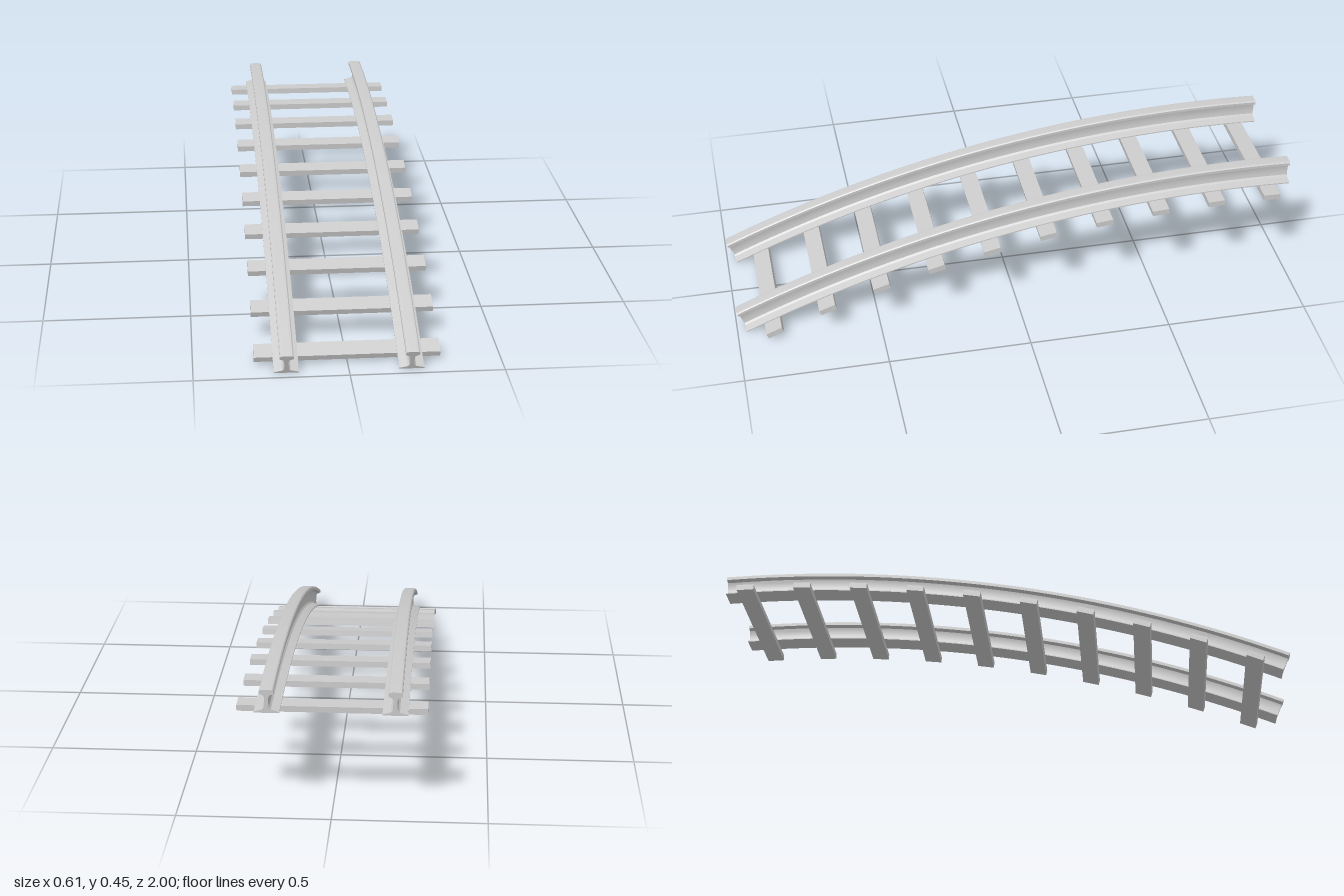
import * as THREE from 'three';
import { toCreasedNormals } from 'three/addons/utils/BufferGeometryUtils.js';

// The track follows an arc in the yz plane; its crest is near the back
const R = 4.42, CREST_Z = -0.8, CREST_Y = 0.371;
const START = -0.0446, END = 0.411;

// Half of the rail section, from the foot up to the head (x from the web, y above the foot)
const HALF = [
  [0.0405, 0], [0.0405, 0.004], [0.014, 0.011], [0.0085, 0.017], [0.0065, 0.028],
  [0.0065, 0.05], [0.009, 0.059], [0.0225, 0.065], [0.0225, 0.0745], [0.019, 0.078], [0.01, 0.0795],
];

// Bends a geometry whose z runs from 0 to 1 along the arc
function bend(geometry) {
  const p = geometry.attributes.position;
  for (let i = 0; i < p.count; i++) {
    const a = START + (END - START) * p.getZ(i);
    const r = R + p.getY(i);
    p.setXYZ(i, p.getX(i), CREST_Y - R + r * Math.cos(a), CREST_Z + r * Math.sin(a));
  }
  return toCreasedNormals(geometry, 0.5);
}

export function createModel() {
  const group = new THREE.Group();
  group.name = 'curvedTrack';
  const material = new THREE.MeshStandardMaterial({ color: 0xcccccc });

  // Rails
  const outline = [...HALF, ...HALF.map(([x, y]) => [-x, y]).reverse()];
  const shape = new THREE.Shape(outline.map(([x, y]) => new THREE.Vector2(x, y)));
  const railGeometry = bend(new THREE.ExtrudeGeometry(shape, { depth: 1, steps: 40, bevelEnabled: false }));
  for (const side of [1, -1]) {
    const rail = new THREE.Mesh(railGeometry, material);
    rail.name = side > 0 ? 'leftRail' : 'rightRail';
    rail.position.x = side * 0.202;
    group.add(rail);
  }

  // Sleepers, evenly spaced along the arc with their tops against the rail feet
  const sleeperGeometry = new THREE.BoxGeometry(0.606, 0.02, 0.06);
  for (let i = 0; i < 10; i++) {
    const a = -0.026 + i * 0.0461;
    const r = R - 0.0095;
    const sleeper = new THREE.Mesh(sleeperGeometry, material);
    sleeper.name = `sleeper${i + 1}`;
    sleeper.position.set(0, CREST_Y - R + r * Math.cos(a), CREST_Z + r * Math.sin(a));
    sleeper.rotation.x = a;
    group.add(sleeper);
  }
  return group;
}
